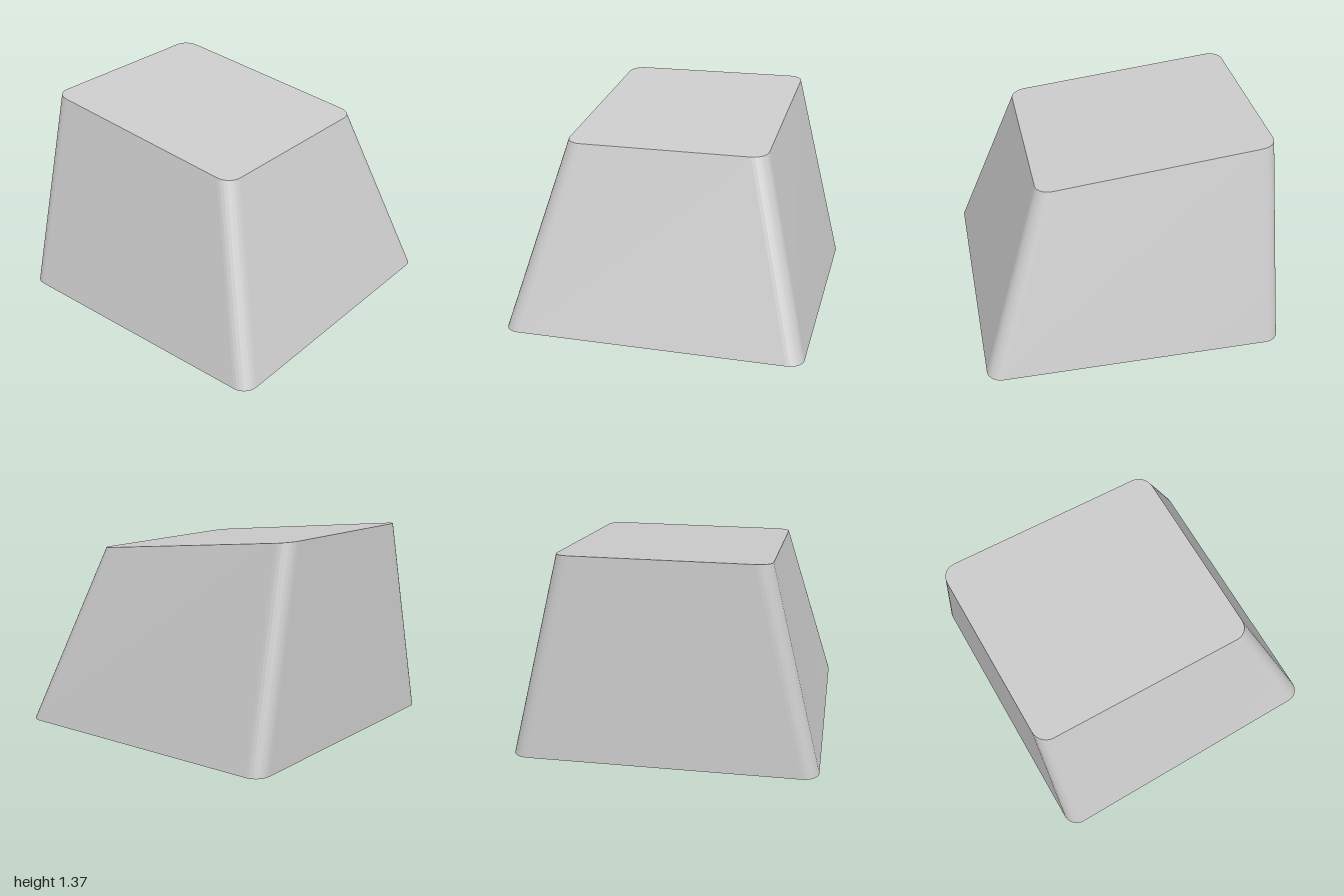
import * as THREE from 'three';
import { toCreasedNormals } from 'three/addons/utils/BufferGeometryUtils.js';

const CORNER_STEPS = 7;

// Height of the sloping top: low at the front, high at the back
const slope = (z) => 1.21 + (0.585 - z) * (0.16 / 1.55);

// Rectangle outline with optional rounded corners; height(z) places each point
function ring(halfX, zBack, zFront, radius, height) {
  const steps = radius > 0 ? CORNER_STEPS : 0;
  const corners = [[1, 1], [-1, 1], [-1, -1], [1, -1]];
  const points = [];
  corners.forEach(([sx, sz], c) => {
    const cx = sx * (halfX - radius);
    const cz = sz > 0 ? zFront - radius : zBack + radius;
    for (let i = 0; i <= steps; i++) {
      const a = (c + (steps ? i / steps : 0)) * Math.PI / 2;
      const z = cz + radius * Math.sin(a);
      points.push(new THREE.Vector3(cx + radius * Math.cos(a), height(z), z));
    }
  });
  return points;
}

// Walls between two rings plus a cap on the upper one; inward flips the faces
function loft(lower, upper, inward = false) {
  const positions = [];
  const tri = (a, b, c) => {
    for (const p of inward ? [a, c, b] : [a, b, c]) positions.push(p.x, p.y, p.z);
  };
  const n = lower.length;
  const centre = upper.reduce((s, p) => s.add(p), new THREE.Vector3()).divideScalar(n);
  for (let i = 0; i < n; i++) {
    const j = (i + 1) % n;
    tri(lower[j], lower[i], upper[i]);
    tri(lower[j], upper[i], upper[j]);
    tri(centre, upper[j], upper[i]);
  }
  const geometry = new THREE.BufferGeometry();
  geometry.setAttribute('position', new THREE.Float32BufferAttribute(positions, 3));
  return toCreasedNormals(geometry, 0.06);
}

export function createModel() {
  const group = new THREE.Group();
  group.name = 'keycap';
  const plastic = new THREE.MeshStandardMaterial({ color: 0xcccccc });
  plastic.name = 'light grey plastic';
  const add = (name, geometry) => {
    const mesh = new THREE.Mesh(geometry, plastic);
    mesh.name = name;
    group.add(mesh);
  };

  const floor = () => 0;
  const ceiling = (z) => slope(z) - 0.1;

  // Tapered outer shell with rounded corners
  const outerBase = ring(1, -1, 1, 0.1, floor);
  add('outerShell', loft(outerBase, ring(0.67, -0.965, 0.585, 0.1, slope)));

  // Sharp-cornered hollow inside
  const innerBase = ring(0.91, -0.91, 0.91, 0, floor);
  add('innerCavity', loft(innerBase, ring(0.58, -0.88, 0.495, 0, ceiling), true));

  // Flat rim joining shell and cavity underneath
  const flat = (points) => points.map((p) => new THREE.Vector2(p.x, p.z));
  const rim = new THREE.Shape(flat(outerBase));
  rim.holes.push(new THREE.Path(flat(innerBase)));
  add('bottomRim', new THREE.ShapeGeometry(rim).rotateX(Math.PI / 2));

  // Square stem hanging from the ceiling
  const stemBase = ring(0.275, -0.29, 0.29, 0, floor);
  add('stem', loft(stemBase, ring(0.275, -0.29, 0.29, 0, (z) => ceiling(z) + 0.02)));
  add('stemEnd', new THREE.PlaneGeometry(0.55, 0.58).rotateX(Math.PI / 2));

  return group;
}
